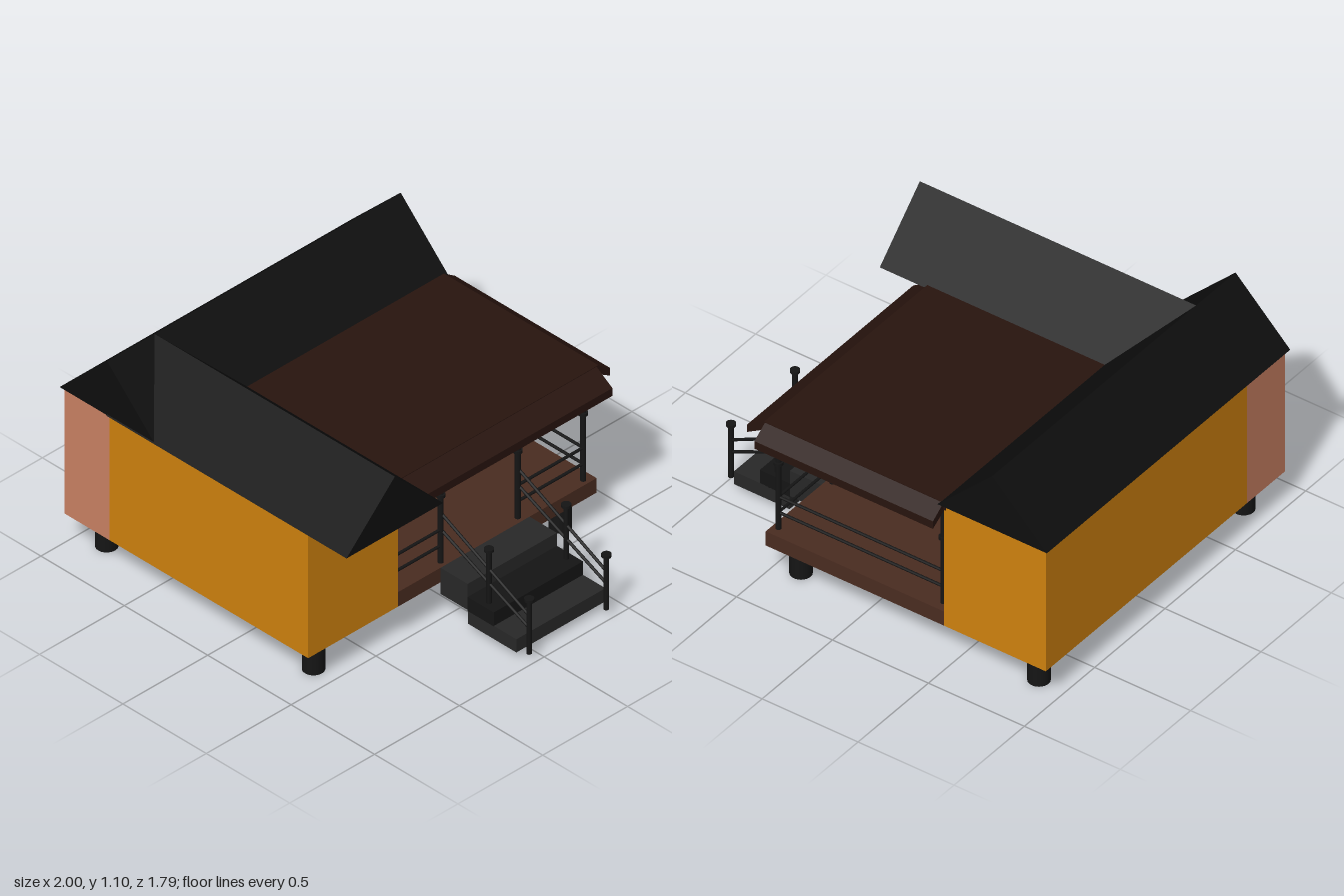
import * as THREE from 'three';

const mat = (color) => new THREE.MeshStandardMaterial({ color, flatShading: false });
const M = {
  wall: mat(0xd0820e), pink: mat(0xcc8264), base: mat(0x623d2f), deck: mat(0x4a2c20),
  roof: mat(0x0e0e0e), porchRoof: mat(0x28140e), metal: mat(0x151515), tread: mat(0x282828),
  door: mat(0xcac426), trim: mat(0xa8690c), knob: mat(0x555555),
};

export function createModel() {
  const root = new THREE.Group();

  const add = (name, geometry, material) => {
    const mesh = new THREE.Mesh(geometry, material);
    mesh.name = name;
    root.add(mesh);
    return mesh;
  };
  // Box given by its limits
  const box = (name, material, x0, x1, y0, y1, z0, z1) =>
    add(name, new THREE.BoxGeometry(x1 - x0, y1 - y0, z1 - z0), material)
      .position.set((x0 + x1) / 2, (y0 + y1) / 2, (z0 + z1) / 2);
  // Vertical cylinder
  const post = (name, material, x, z, y0, y1, r) =>
    add(name, new THREE.CylinderGeometry(r, r, y1 - y0, 20), material)
      .position.set(x, (y0 + y1) / 2, z);
  // Round bar between two points
  const bar = (name, a, b, r = 0.007) => {
    const p = new THREE.Vector3(...a), q = new THREE.Vector3(...b);
    const m = add(name, new THREE.CylinderGeometry(r, r, p.distanceTo(q), 10), M.metal);
    m.position.copy(p).lerp(q, 0.5);
    m.quaternion.setFromUnitVectors(new THREE.Vector3(0, 1, 0), q.clone().sub(p).normalize());
  };
  // Extrusion of a 2D outline
  const extrude = (pts, depth) => new THREE.ExtrudeGeometry(
    new THREE.Shape(pts.map(([x, y]) => new THREE.Vector2(x, y))), { depth, bevelEnabled: false });
  // Floor plan (x, z) raised from y0 to y1
  const plan = (name, pts, y0, y1, material) =>
    add(name, extrude(pts.map(([x, z]) => [x, -z]), y1 - y0).rotateX(-Math.PI / 2), material)
      .position.set(0, y0, 0);

  // L-shaped house with a pink corner
  plan('houseWalls', [[-0.71, 0.88], [0.48, 0.88], [0.48, 0.35], [-0.45, 0.35], [-0.45, -0.82],
    [-0.98, -0.82], [-0.98, 0.61], [-0.71, 0.61]], 0.17, 0.82, [M.base, M.wall]);
  plan('cornerWalls', [[-0.98, 0.88], [-0.71, 0.88], [-0.71, 0.61], [-0.98, 0.61]],
    0.17, 0.82, [M.base, M.pink]);

  // Two crossing gable roofs
  const gable = [[-0.285, 0], [0.285, 0], [0, 0.28]];
  add('sideWingRoof', extrude(gable, 1.73), M.roof).position.set(-0.715, 0.82, -0.84);
  const front = add('frontWingRoof', extrude(gable, 1.44), M.roof);
  front.rotation.y = Math.PI / 2;
  front.position.set(-0.715, 0.82, 0.61);

  // Porch deck and foundation piles
  box('porchDeck', M.deck, -0.45, 0.48, 0.17, 0.245, -0.82, 0.35);
  for (const x of [-0.86, 0.38]) for (const z of [0.75, -0.705])
    post('foundationPile', M.metal, x, z, 0, 0.18, 0.05);

  // Flat porch roof with sloping eaves on its two open sides
  box('porchRoof', M.porchRoof, -0.46, 0.485, 0.79, 0.83, -0.825, 0.36);
  const sideEave = add('sideEave',
    extrude([[0.48, 0.785], [0.58, 0.725], [0.58, 0.765], [0.48, 0.83]], 1.18), M.porchRoof);
  sideEave.position.z = -0.815;
  const backEave = add('backEave',
    extrude([[0.82, 0.785], [0.9, 0.735], [0.9, 0.775], [0.82, 0.83]], 0.93), M.porchRoof);
  backEave.rotation.y = Math.PI / 2;
  backEave.position.x = -0.45;

  // Porch posts with collars
  for (const [x, z] of [[0.45, 0.07], [0.45, -0.385], [0.45, -0.77], [-0.41, -0.77]]) {
    post('porchPost', M.metal, x, z, 0.24, 0.8, 0.013);
    post('postCollar', M.metal, x, z, 0.585, 0.6, 0.021);
  }

  // Porch railings
  for (const y of [0.33, 0.413]) {
    bar('porchRail', [0.45, y, 0.35], [0.45, y, 0.07]);
    bar('porchRail', [0.45, y, -0.385], [0.45, y, -0.77]);
    bar('porchRail', [0.45, y, -0.77], [-0.45, y, -0.77]);
  }

  // Stairs
  box('topStep', M.tread, 0.48, 0.643, 0.11, 0.245, -0.425, 0.1);
  box('middleStep', M.metal, 0.643, 0.8, 0.105, 0.178, -0.425, 0.1);
  box('bottomStep', M.tread, 0.645, 0.935, 0.04, 0.108, -0.425, 0.1);

  // Stair handrails on both sides
  for (const z of [0.065, -0.39]) {
    for (const [x, y0, y1] of [[0.735, 0.17, 0.46], [0.976, 0.04, 0.325]]) {
      post('stairPost', M.metal, x, z, y0, y1, 0.012);
      post('stairPostCap', M.metal, x, z, y1 - 0.013, y1, 0.022);
    }
    bar('stairRail', [0.45, 0.493, z], [0.976, 0.235, z]);
    bar('stairRail', [0.45, 0.408, z], [0.976, 0.172, z]);
  }

  // Door with frame and knob
  box('doorFrame', M.trim, -0.46, -0.444, 0.245, 0.688, -0.317, -0.008);
  box('door', M.door, -0.46, -0.438, 0.245, 0.68, -0.31, -0.015);
  add('doorKnob', new THREE.SphereGeometry(0.016, 16, 12), M.knob).position.set(-0.425, 0.457, -0.07);

  return root;
}
